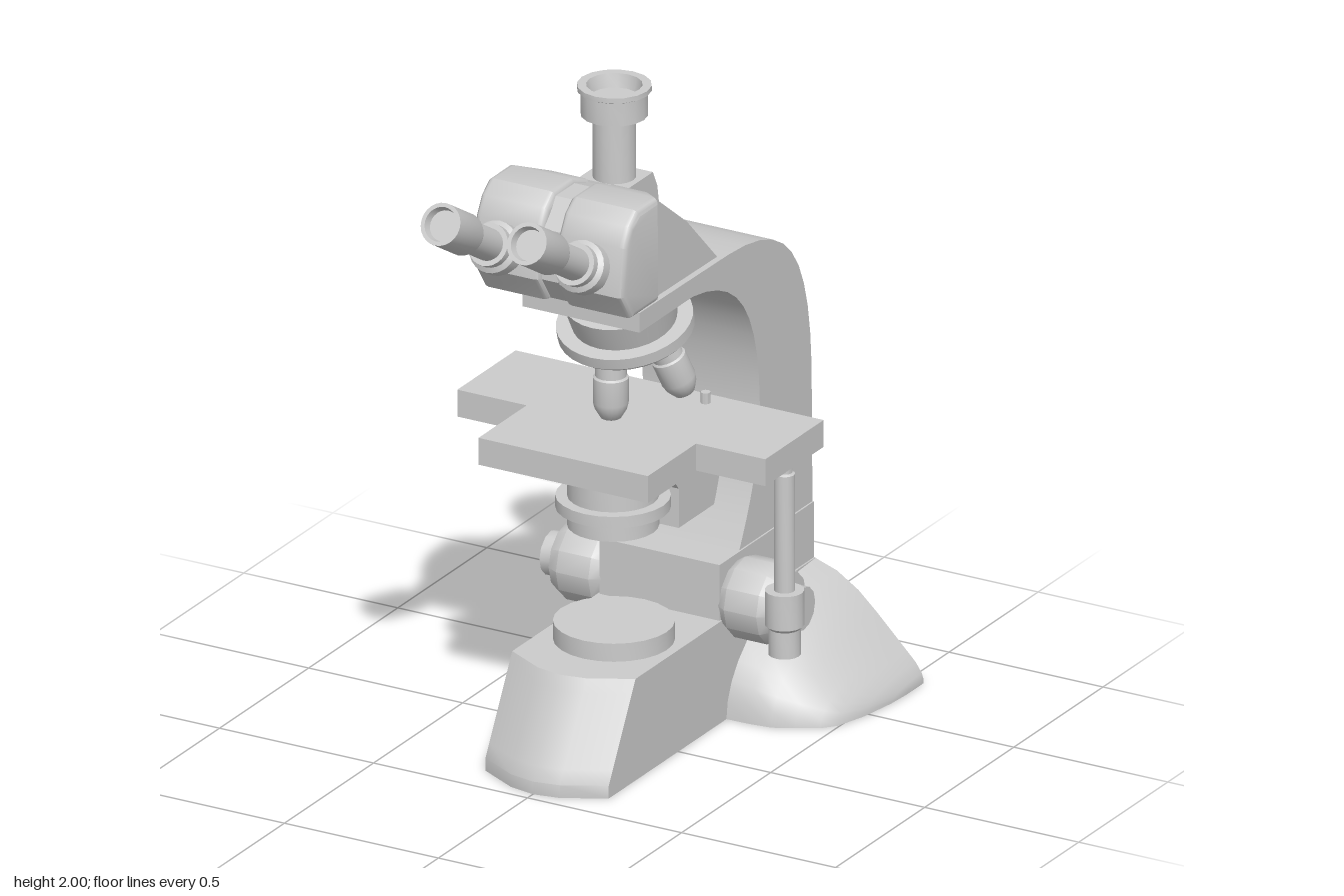
import * as THREE from 'three';
import { toCreasedNormals } from 'three/addons/utils/BufferGeometryUtils.js';

const grey = new THREE.MeshStandardMaterial({ color: 0xcccccc });
const greyDouble = new THREE.MeshStandardMaterial({ color: 0xcccccc, side: THREE.DoubleSide });

const toShape = (pts) => new THREE.Shape(pts.map(([a, b]) => new THREE.Vector2(a, b)));

// Side profile given as [z, y], extruded across x between x0 and x1
function sideGeo(shape, x0, x1, bevel = 0) {
  const g = new THREE.ExtrudeGeometry(shape, {
    depth: x1 - x0 - 2 * bevel, curveSegments: 10,
    bevelEnabled: bevel > 0, bevelSize: bevel, bevelThickness: bevel, bevelOffset: -bevel, bevelSegments: 3,
  });
  return g.rotateY(-Math.PI / 2).translate(x1 - bevel, 0, 0);
}

// Plan outline given as [x, z], extruded upward from y0 to y1
function planGeo(pts, y0, y1, steps = 1) {
  const g = new THREE.ExtrudeGeometry(toShape(pts.map(([x, z]) => [x, -z])), {
    depth: y1 - y0, steps, bevelEnabled: false,
  });
  return g.rotateX(-Math.PI / 2).translate(0, y0, 0);
}

// Turned part from [radius, height] points, bottom to top
function turned(pts, sides = 24) {
  const g = new THREE.LatheGeometry(pts.map(([r, y]) => new THREE.Vector2(r, y)), sides);
  return toCreasedNormals(g, 0.6);
}

export function createModel() {
  const root = new THREE.Group();
  const add = (name, geo, material = grey, parent = root) => {
    const m = new THREE.Mesh(geo, material);
    m.name = name;
    parent.add(m);
    return m;
  };

  // Base body with a bowed front that slopes back above a small lip
  const base = planGeo([[0.2, -0.77], [0.2, 0.39], [0.08, 0.455], [0, 0.47],
    [-0.08, 0.455], [-0.2, 0.39], [-0.2, -0.77]], 0, 0.31, 8);
  const bp = base.attributes.position;
  for (let i = 0; i < bp.count; i++) {
    if (bp.getZ(i) > 0.3) bp.setZ(i, bp.getZ(i) - 0.15 * Math.max(0, (bp.getY(i) - 0.039) / 0.271));
  }
  base.computeVertexNormals();
  add('base', toCreasedNormals(base, 0.5));

  // Rear feet: hollow half domes lofted outward, as [x, height, front z]
  const sections = [[0.19, 0.312, -0.27], [0.27, 0.285, -0.272], [0.34, 0.24, -0.28], [0.4, 0.185, -0.31],
    [0.46, 0.125, -0.345], [0.495, 0.09, -0.385], [0.525, 0.06, -0.48], [0.545, 0.03, -0.6],
    [0.55, 0.015, -0.68], [0.55, 0, -0.68]];
  for (const s of [1, -1]) {
    const pos = [], idx = [], n = 11;
    for (const [x, h, zf] of sections) {
      for (let j = 0; j < n - 1; j++) {
        const a = (j / (n - 2)) * Math.PI / 2;
        pos.push(s * x, h * Math.sin(a), -0.77 + (zf + 0.77) * Math.cos(a));
      }
      pos.push(s * x, 0, -0.77);
    }
    for (let i = 0; i < sections.length - 1; i++) {
      for (let j = 0; j < n - 1; j++) {
        const a = i * n + j, b = a + 1, c = a + n, d = c + 1;
        if (s > 0) idx.push(a, c, b, b, c, d);
        else idx.push(a, b, c, b, d, c);
      }
    }
    const g = new THREE.BufferGeometry();
    g.setAttribute('position', new THREE.Float32BufferAttribute(pos, 3));
    g.setIndex(idx);
    add(s > 0 ? 'leftFoot' : 'rightFoot', toCreasedNormals(g, 0.7), greyDouble);
  }

  // Neck block and curved arm
  add('neckBlock', sideGeo(toShape([[-0.77, 0.3], [-0.24, 0.3], [-0.24, 0.48], [-0.77, 0.48]]), -0.195, 0.195));
  const arm = new THREE.Shape();
  arm.moveTo(-0.77, 0.48);
  arm.lineTo(-0.765, 0.9);
  arm.bezierCurveTo(-0.75, 1.25, -0.64, 1.4, -0.3, 1.405);
  arm.lineTo(0.2, 1.41);
  arm.lineTo(0.2, 1.35);
  arm.lineTo(-0.1, 1.35);
  arm.bezierCurveTo(-0.36, 1.32, -0.47, 1.18, -0.475, 0.88);
  arm.bezierCurveTo(-0.475, 0.7, -0.4, 0.56, -0.36, 0.48);
  add('arm', toCreasedNormals(sideGeo(arm, -0.19, 0.19), 0.5));

  // Light source, stage, its bracket and condenser
  add('lightDisc', turned([[0, 0], [0.172, 0], [0.172, 0.06], [0, 0.06]])).position.set(0, 0.305, 0.015);
  add('stageBracket', sideGeo(toShape([[-0.04, 0.88], [-0.08, 0.8], [-0.16, 0.76], [-0.21, 0.7], [-0.21, 0.58],
    [-0.45, 0.58], [-0.49, 0.7], [-0.49, 0.88]]), -0.08, 0.08));
  add('stage', planGeo([[-0.5, -0.297], [0.5, -0.297], [0.5, 0.03], [0.275, 0.03], [0.275, 0.3],
    [-0.275, 0.3], [-0.275, 0.03], [-0.5, 0.03]], 0.885, 0.967));
  for (const x of [-0.185, 0.15]) {
    add('stagePin', turned([[0, 0], [0.014, 0], [0.014, 0.035], [0, 0.035]], 12)).position.set(x, 0.965, -0.24);
  }
  add('condenser', turned([[0, 0.66], [0.13, 0.66], [0.13, 0.715], [0.163, 0.715], [0.163, 0.75],
    [0.13, 0.75], [0.13, 0.885], [0, 0.885]])).position.z = 0.02;

  // Hanging stage control rod
  add('stageControl', turned([[0, 0.28], [0.046, 0.28], [0.046, 0.36], [0.056, 0.37], [0.056, 0.475], [0.03, 0.475],
    [0.03, 0.83], [0.023, 0.835], [0.023, 0.885], [0, 0.885]], 16)).position.set(0.435, 0, -0.19);

  // Focus knobs on both sides
  for (const s of [1, -1]) {
    const knob = add('focusKnob', turned([[0, 0], [0.1, 0], [0.12, 0.03], [0.12, 0.135], [0.1, 0.17],
      [0.065, 0.17], [0.065, 0.22], [0, 0.22]], 12));
    knob.position.set(s * 0.19, 0.355, -0.34);
    knob.rotation.z = -s * Math.PI / 2;
  }

  // Tilted nosepiece with flared objectives
  const turret = new THREE.Group();
  turret.name = 'nosepiece';
  turret.position.set(0, 1.243, -0.05);
  turret.rotation.x = 0.27;
  root.add(turret);
  add('turret', turned([[0, -0.022], [0.185, -0.022], [0.195, -0.012], [0.195, 0.022], [0.15, 0.022],
    [0.165, 0.105], [0, 0.105]], 32), grey, turret);
  for (const deg of [0, 100, 220]) {
    const mount = new THREE.Group();
    mount.name = 'objectiveMount';
    mount.rotation.y = deg * Math.PI / 180;
    turret.add(mount);
    const lens = add('objective', turned([[0, -0.215], [0.024, -0.215], [0.03, -0.212], [0.046, -0.185],
      [0.051, -0.165], [0.051, -0.09], [0.045, -0.085], [0.045, 0], [0, 0]], 20), grey, mount);
    lens.position.set(0, -0.015, 0.09);
    lens.rotation.x = -0.27;
  }

  // Head wedge and the collar under the vertical tube
  add('headBody', sideGeo(toShape([[-0.27, 1.405], [0.13, 1.405], [0.2, 1.47], [0.2, 1.74], [0.09, 1.72],
    [-0.1, 1.575]]), -0.17, 0.17));
  add('tubeCollar', sideGeo(toShape([[-0.11, 1.55], [0.1, 1.55], [0.075, 1.72], [-0.065, 1.72],
    [-0.09, 1.67]]), -0.08, 0.08));

  // Binocular housing: two lobes narrowing to the rear, joined by a bridge
  const lobe = toShape([[0.13, 1.45], [0.19, 1.45], [0.33, 1.45], [0.385, 1.53], [0.375, 1.68], [0.345, 1.735],
    [0.3, 1.77], [0.19, 1.77], [0.1, 1.735]]);
  for (const s of [1, -1]) {
    const g = s > 0 ? sideGeo(lobe, 0.025, 0.245, 0.02) : sideGeo(lobe, -0.245, -0.025, 0.02);
    const p = g.attributes.position;
    for (let i = 0; i < p.count; i++) {
      const k = Math.max(0, 0.19 - p.getZ(i));
      if (Math.abs(p.getX(i)) > 0.14) p.setX(i, p.getX(i) - s * k * 0.8);
    }
    g.computeVertexNormals();
    add(s > 0 ? 'leftHousing' : 'rightHousing', toCreasedNormals(g, 0.6));

    // Eyepiece with a recessed lens
    const eye = add(s > 0 ? 'leftEyepiece' : 'rightEyepiece', turned([[0, 0], [0.05, 0], [0.05, 0.055],
      [0.068, 0.055], [0.076, 0.065], [0.076, 0.105], [0.062, 0.115], [0.062, 0.14], [0.047, 0.14], [0.047, 0.285],
      [0.058, 0.29], [0.062, 0.3], [0.062, 0.45], [0.05, 0.45], [0.045, 0.425], [0, 0.425]]));
    eye.position.set(s * 0.14, 1.58, 0.36);
    eye.rotation.x = Math.PI / 2 - 0.54;
  }
  add('housingBridge', sideGeo(toShape([[0.13, 1.455], [0.32, 1.455], [0.372, 1.53], [0.362, 1.68],
    [0.295, 1.757], [0.19, 1.757], [0.1, 1.725]]), -0.045, 0.045));

  // Vertical camera tube with a hollow cap
  add('cameraTube', turned([[0, 1.7], [0.062, 1.7], [0.062, 1.91], [0.096, 1.91], [0.096, 1.98], [0.106, 1.985],
    [0.106, 2], [0.08, 2], [0.07, 1.96], [0, 1.96]], 16)).position.z = 0.013;

  return root;
}
